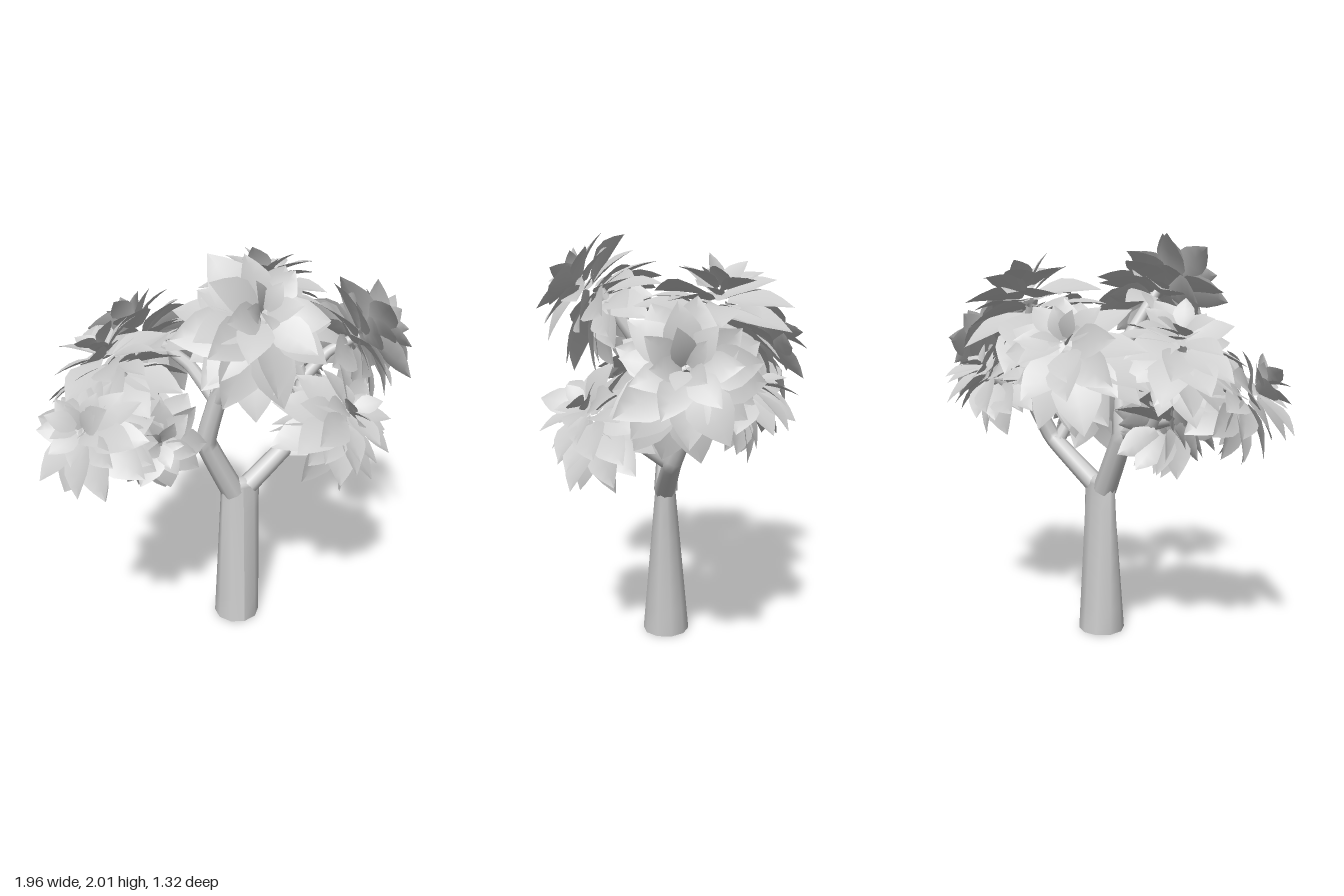
import * as THREE from 'three';
import { mergeGeometries } from 'three/addons/utils/BufferGeometryUtils.js';

const V = (a) => new THREE.Vector3(...a);
const bark = new THREE.MeshStandardMaterial({ color: 0xcccccc, side: THREE.DoubleSide });
const foliage = new THREE.MeshStandardMaterial({ color: 0xcccccc, side: THREE.DoubleSide });

// small seeded generator giving -1..1
let seed = 7;
function jitter() {
  seed = (seed * 16807) % 2147483647;
  return (seed / 2147483647) * 2 - 1;
}

// unit leaf along +z: kite outline with a sharp tip, lightly folded and drooping
function leafGeometry() {
  const geo = new THREE.PlaneGeometry(1, 1, 2, 5);
  const widths = [0.12, 0.25, 0.34, 0.3, 0.17, 0];
  const p = geo.attributes.position;
  for (let i = 0; i < p.count; i++) {
    const t = p.getY(i) + 0.5;
    const side = p.getX(i) * 2;
    const w = widths[Math.round(t * 5)];
    p.setXYZ(i, -side * w, Math.abs(side) * w * 0.2 + 0.08 * t - 0.2 * t * t, t);
  }
  geo.computeVertexNormals();
  return geo;
}
const leaf = leafGeometry();

// stacked tiers of a rosette: count, tilt from axis, base height, base radius, leaf length
const tiers = [
  [5, 42, 0.3, 0.05, 0.46],
  [7, 64, 0.24, 0.1, 0.66],
  [8, 84, 0.1, 0.14, 0.82],
  [9, 98, -0.06, 0.16, 0.88],
  [9, 112, -0.22, 0.16, 0.88],
  [8, 132, -0.3, 0.14, 0.84],
];

function rosette(name, center, axis, size) {
  const parts = [];
  tiers.forEach(([count, tilt, height, radius, length], k) => {
    for (let i = 0; i < count; i++) {
      const len = length * (1 + 0.17 * jitter());
      const g = leaf.clone().scale(len, len, len);
      g.rotateZ(0.4 * jitter());
      g.rotateX(THREE.MathUtils.degToRad(tilt - 90 + 11 * jitter()));
      g.translate(0, height + 0.07 * jitter(), radius);
      g.rotateY(((i + 0.5 * (k % 2) + 0.3 * jitter()) / count) * Math.PI * 2);
      parts.push(g);
    }
  });
  const mesh = new THREE.Mesh(mergeGeometries(parts), foliage);
  mesh.name = name;
  mesh.position.copy(V(center));
  mesh.quaternion.setFromUnitVectors(new THREE.Vector3(0, 1, 0), V(axis).normalize());
  mesh.scale.setScalar(size);
  return mesh;
}

// tapering tube with fairly straight runs between its points
function branch(name, points, r0, r1) {
  const curve = new THREE.CatmullRomCurve3(points.map(V), false, 'catmullrom', 0.15);
  const rings = 16, sides = 8;
  const geo = new THREE.TubeGeometry(curve, rings, 1, sides, false);
  const p = geo.attributes.position, v = new THREE.Vector3();
  for (let i = 0; i < p.count; i++) {
    const t = Math.floor(i / (sides + 1)) / rings;
    const c = curve.getPointAt(t);
    v.fromBufferAttribute(p, i).sub(c).multiplyScalar(r0 + (r1 - r0) * t).add(c);
    p.setXYZ(i, v.x, v.y, v.z);
  }
  const mesh = new THREE.Mesh(geo, bark);
  mesh.name = name;
  return mesh;
}

function trunk() {
  const group = new THREE.Group();
  group.name = 'trunk';
  // open shaft that flattens front to back as it rises
  const geo = new THREE.CylinderGeometry(1, 1, 0.77, 10, 6, true).translate(0, 0.385, 0);
  const p = geo.attributes.position;
  for (let i = 0; i < p.count; i++) {
    const t = p.getY(i) / 0.77;
    p.setX(i, p.getX(i) * (0.118 - 0.016 * t) - 0.02 + 0.016 * t);
    p.setZ(i, p.getZ(i) * (0.117 - 0.068 * t) + 0.035);
  }
  geo.computeVertexNormals();
  const shaft = new THREE.Mesh(geo, bark);
  shaft.name = 'trunkShaft';
  // rounded crotch where the limbs part
  const crotch = new THREE.Mesh(new THREE.SphereGeometry(1, 12, 8), bark);
  crotch.name = 'trunkFork';
  crotch.scale.set(0.1, 0.04, 0.048);
  crotch.position.set(-0.004, 0.77, 0.035);
  group.add(shaft, crotch);
  return group;
}

export function createModel() {
  const tree = new THREE.Group();
  tree.name = 'tree';
  tree.add(trunk());

  // limbs: name, path, start and end radius
  const limbs = [
    ['rightLimb', [[-0.04, 0.74, 0.035], [-0.18, 1.04, 0.03], [-0.12, 1.3, 0.06]], 0.06, 0.045],
    ['leftLimb', [[0.035, 0.76, 0.035], [0.32, 0.97, -0.02], [0.41, 1.25, -0.13]], 0.052, 0.038],
    ['frontTopBranch', [[-0.125, 1.27, 0.06], [-0.05, 1.47, 0.16], [-0.07, 1.74, 0.36]], 0.045, 0.026],
    ['backBranch', [[-0.13, 1.25, 0.055], [-0.2, 1.38, -0.13], [-0.33, 1.48, -0.36]], 0.036, 0.024],
    ['rightBranch', [[-0.17, 1.04, 0.03], [-0.38, 1.12, 0.04], [-0.58, 1.45, 0.02]], 0.042, 0.025],
    ['farRightBranch', [[-0.36, 1.12, 0.04], [-0.55, 1.17, 0.12], [-0.74, 1.28, 0.22]], 0.034, 0.022],
    ['lowRightBranch', [[-0.34, 1.11, 0.04], [-0.4, 1.12, 0.06], [-0.45, 1.14, 0.1]], 0.032, 0.022],
    ['topBranch', [[0.4, 1.23, -0.12], [0.34, 1.42, -0.18], [0.23, 1.66, -0.21]], 0.038, 0.026],
    ['leftBranch', [[0.4, 1.23, -0.12], [0.54, 1.36, -0.12], [0.7, 1.43, -0.1]], 0.036, 0.024],
    ['frontLeftBranch', [[0.28, 0.95, -0.02], [0.34, 1.06, 0.12], [0.38, 1.19, 0.28]], 0.036, 0.022],
    ['backLeftBranch', [[0.38, 1.16, -0.1], [0.39, 1.22, -0.22], [0.4, 1.3, -0.34]], 0.034, 0.022],
  ];
  limbs.forEach((l) => tree.add(branch(...l)));

  // leaf rosettes: name, centre, facing axis, size
  const rosettes = [
    ['topLeaves', [0.22, 1.66, -0.21], [0.08, 0.95, -0.2], 0.33],
    ['frontTopLeaves', [-0.08, 1.73, 0.4], [0.05, 0.66, 0.72], 0.32],
    ['leftLeaves', [0.73, 1.43, -0.1], [0.88, 0.4, -0.05], 0.32],
    ['frontLeftLeaves', [0.38, 1.19, 0.33], [0.35, 0.75, 0.4], 0.28],
    ['rightLeaves', [-0.61, 1.47, -0.03], [-0.35, 0.85, -0.15], 0.29],
    ['backLeaves', [-0.35, 1.45, -0.42], [-0.35, 0.65, -0.65], 0.31],
    ['farRightLeaves', [-0.77, 1.27, 0.23], [-0.6, 0.6, 0.45], 0.26],
    ['lowRightLeaves', [-0.45, 1.13, 0.11], [0, 0.25, 0.95], 0.25],
    ['backLeftLeaves', [0.4, 1.31, -0.34], [0.25, 0.75, -0.55], 0.25],
  ];
  rosettes.forEach((r) => tree.add(rosette(...r)));
  return tree;
}
